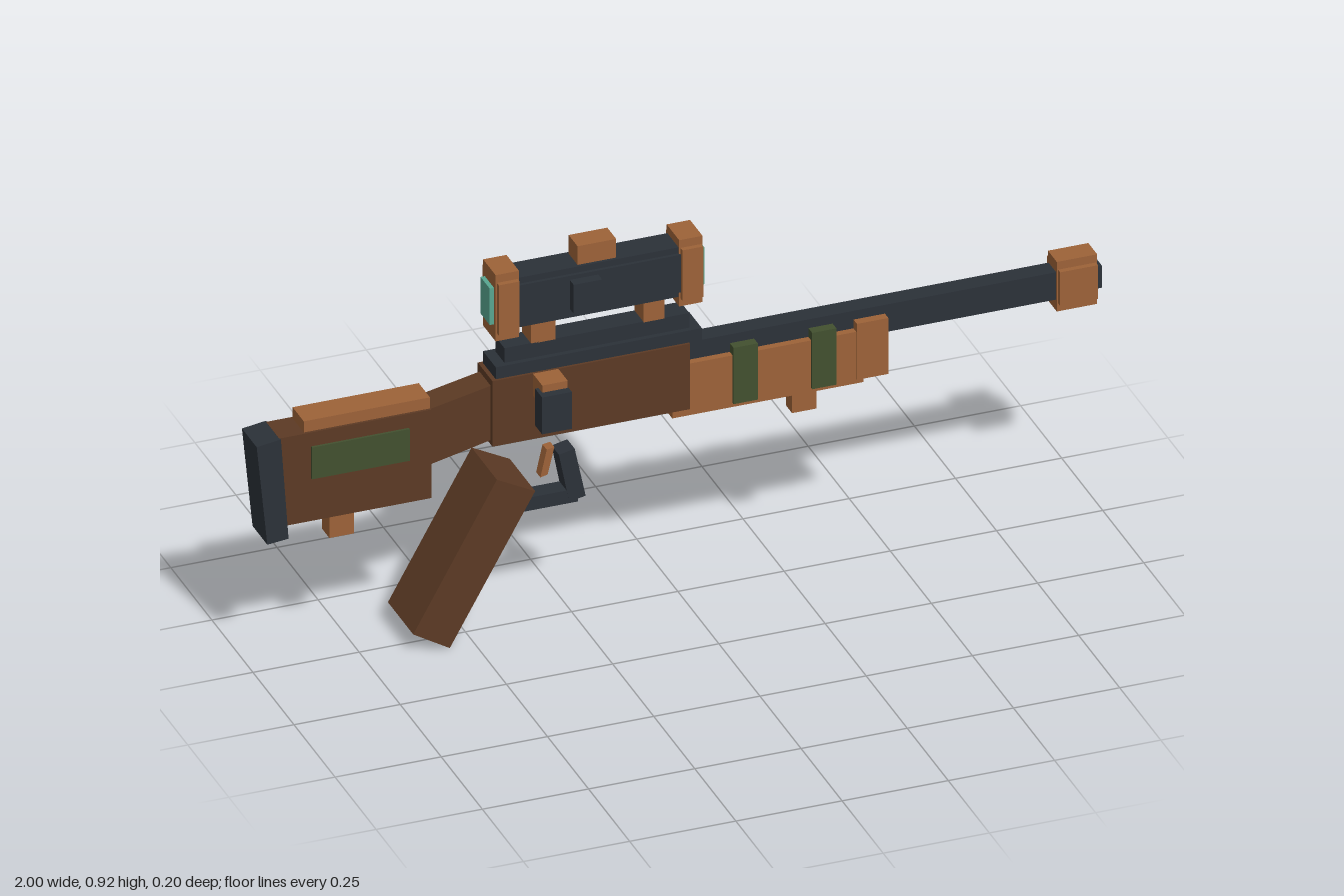
import * as THREE from 'three';

export function createModel() {
  const model = new THREE.Group();
  const mat = (name, color) => {
    const m = new THREE.MeshStandardMaterial({ color });
    m.name = name;
    return m;
  };
  const walnut = mat('dark walnut', 0x5c3a24);
  const copper = mat('light copper', 0x9c6238);
  const steel = mat('blued steel', 0x2b3138);
  const green = mat('olive green', 0x42502f);
  const glass = mat('teal glass', 0x58a690);
  const CZ = -0.022; // centre plane of the rifle

  const add = (name, geometry, material) => {
    const mesh = new THREE.Mesh(geometry, material);
    mesh.name = name;
    model.add(mesh);
    return mesh;
  };
  // Box given by its limits in x, y and z
  const block = (name, material, x0, x1, y0, y1, z0, z1) =>
    add(name, new THREE.BoxGeometry(x1 - x0, y1 - y0, z1 - z0), material)
      .position.set((x0 + x1) / 2, (y0 + y1) / 2, (z0 + z1) / 2);
  // Box symmetric about the centre plane
  const box = (name, material, x0, x1, y0, y1, half) =>
    block(name, material, x0, x1, y0, y1, CZ - half, CZ + half);
  // Side outline extruded symmetrically about the centre plane
  const slab = (name, material, points, half) => {
    const shape = new THREE.Shape(points.map(([x, y]) => new THREE.Vector2(x, y)));
    add(name, new THREE.ExtrudeGeometry(shape, { depth: half * 2, bevelEnabled: false }), material)
      .position.z = CZ - half;
  };
  // Two crossed boxes making a stepped, rounded-looking block
  const stepped = (name, material, x0, x1, y0, y1, step, wide, narrow) => {
    box(name + 'Core', material, x0, x1, y0, y1, narrow);
    box(name + 'Sides', material, x0 + 0.003, x1 - 0.003, y0 + step, y1 - step, wide);
  };

  // Stock
  box('stock', walnut, -0.945, -0.587, 0.365, 0.588, 0.04);
  box('cheekRest', copper, -0.885, -0.588, 0.575, 0.616, 0.034);
  slab('buttPlate', steel, [[-1, 0.58], [-0.975, 0.329], [-0.925, 0.334], [-0.943, 0.588]], 0.045);
  slab('stockNeck', walnut, [[-0.595, 0.445], [-0.44, 0.48], [-0.44, 0.617], [-0.595, 0.585]], 0.034);
  for (const side of [-1, 1]) {
    const z = CZ + side * 0.042;
    block('stockPanel', green, -0.87, -0.64, 0.473, 0.553, z - 0.004, z + 0.004);
  }
  box('rearSlingStud', copper, -0.82, -0.762, 0.302, 0.355, 0.022);

  // Receiver and rail
  box('receiver', walnut, -0.445, 0.02, 0.468, 0.633, 0.045);
  box('receiverTop', steel, -0.435, 0.05, 0.59, 0.663, 0.039);
  box('scopeRail', steel, -0.41, 0.025, 0.66, 0.7, 0.027);

  // Bolt handle on the +z side
  block('boltArm', copper, -0.35, -0.29, 0.578, 0.633, 0, 0.08);
  block('boltKnob', steel, -0.358, -0.288, 0.522, 0.615, 0.057, 0.1);

  // Grip, trigger and guard
  slab('grip', walnut, [[-0.447, 0.402], [-0.644, 0.052], [-0.558, 0], [-0.357, 0.355]], 0.077);
  box('triggerGuardBar', steel, -0.4, -0.235, 0.275, 0.308, 0.022);
  slab('triggerGuardFront', steel, [[-0.28, 0.402], [-0.256, 0.279], [-0.217, 0.286], [-0.243, 0.41]], 0.0225);
  slab('trigger', copper, [[-0.305, 0.415], [-0.32, 0.348], [-0.303, 0.352], [-0.287, 0.418]], 0.013);

  // Forend with two bands
  box('forend', copper, -0.02, 0.43, 0.45, 0.58, 0.04);
  box('forendCap', copper, 0.413, 0.487, 0.461, 0.602, 0.044);
  for (const x of [0.122, 0.307]) box('forendBand', green, x, x + 0.057, 0.46, 0.602, 0.046);
  box('frontSlingStud', copper, 0.27, 0.328, 0.393, 0.455, 0.019);

  // Barrel and muzzle
  box('barrel', steel, 0, 0.95, 0.555, 0.624, 0.023);
  stepped('muzzle', copper, 0.89, 0.985, 0.527, 0.652, 0.02, 0.04, 0.027);
  box('bore', steel, 0.95, 1, 0.56, 0.615, 0.018);

  // Scope
  stepped('scopeTube', steel, -0.4, 0.015, 0.75, 0.875, 0.015, 0.042, 0.034);
  for (const [x0, x1] of [[-0.435, -0.38], [-0.003, 0.052]])
    stepped('scopeCap', copper, x0, x1, 0.728, 0.895, 0.02, 0.05, 0.038);
  for (const [x0, x1] of [[-0.445, -0.434], [0.051, 0.061]])
    box('lens', glass, x0, x1, 0.766, 0.858, 0.028);
  box('topTurret', copper, -0.238, -0.147, 0.87, 0.922, 0.027);
  block('sideTurret', steel, -0.262, -0.195, 0.777, 0.85, 0.01, 0.044);
  for (const [x0, x1] of [[-0.348, -0.29], [-0.083, -0.033]])
    box('scopeMount', copper, x0, x1, 0.698, 0.762, 0.027);

  return model;
}
